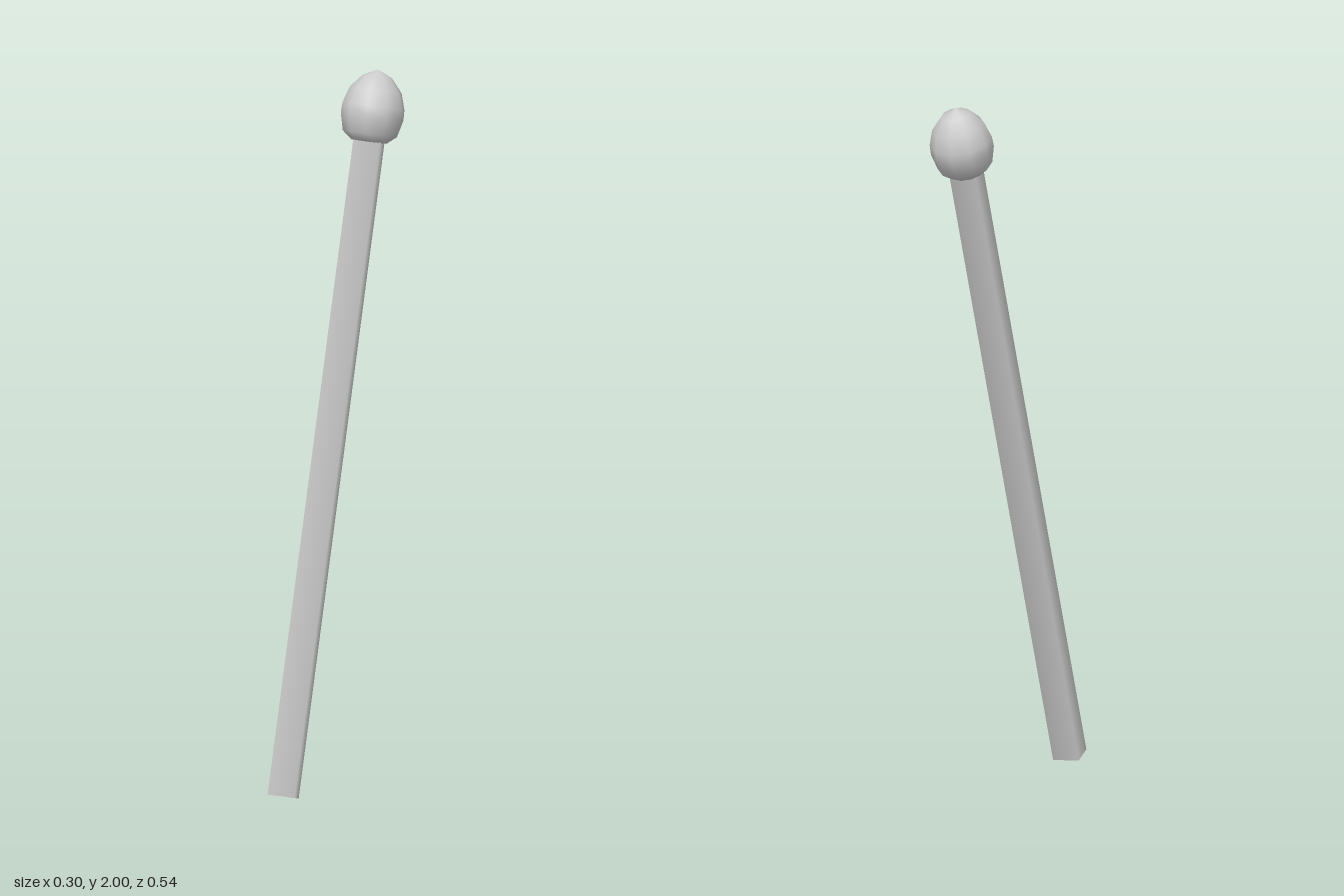
import * as THREE from 'three';

export function createModel() {
  const model = new THREE.Group();
  model.name = 'matchstick';
  const material = new THREE.MeshStandardMaterial({ color: 0xcccccc });
  const add = (name, geometry) => {
    const mesh = new THREE.Mesh(geometry, material);
    mesh.name = name;
    match.add(mesh);
  };

  // Everything is built upright along y, then leaned to its resting angle
  const match = new THREE.Group();
  match.name = 'leaningMatch';
  match.position.set(-0.114, 0.011, 0.245);
  const axis = new THREE.Vector3(0.0916, 1, -0.2257).normalize();
  match.quaternion.setFromUnitVectors(new THREE.Vector3(0, 1, 0), axis);
  model.add(match);

  // Stick: four-sided bar with softened side shading and flat ends
  const length = 1.87;
  const stick = new THREE.CylinderGeometry(Math.SQRT1_2, Math.SQRT1_2, length, 4);
  stick.rotateY(Math.PI / 4).scale(0.077, 1, 0.066).translate(0, length / 2, 0);
  add('stick', stick);

  // Head: ten-sided bulb, blunt below and drawn to a soft point on top
  const profile = [
    [0, 1.843], [0.05, 1.845], [0.077, 1.867], [0.089, 1.915],
    [0.088, 1.945], [0.074, 1.99], [0.042, 2.028], [0, 2.048],
  ].map(([r, y]) => new THREE.Vector2(r, y));
  add('head', new THREE.LatheGeometry(profile, 10));

  return model;
}
